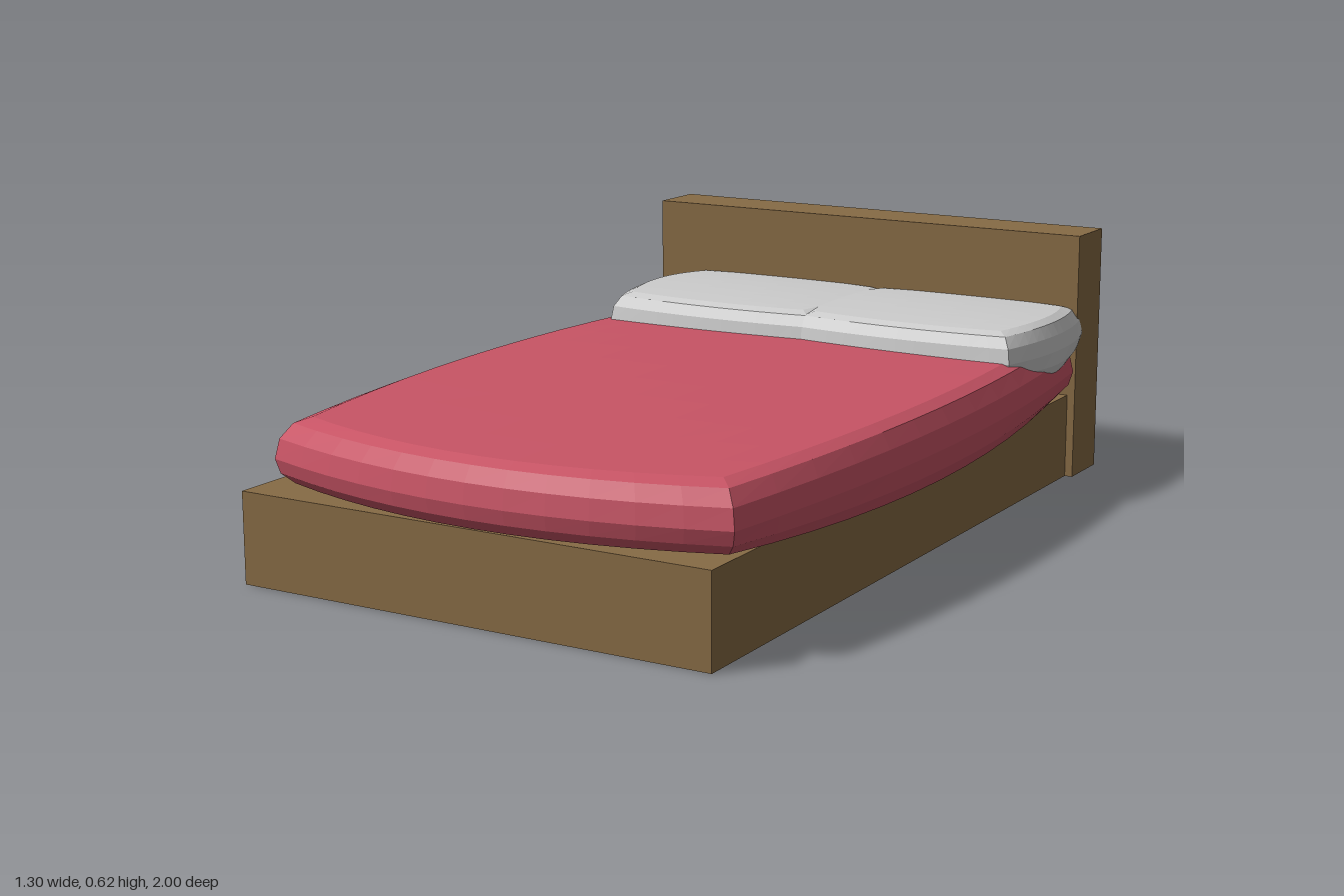
import * as THREE from 'three';

const wood = new THREE.MeshStandardMaterial({ color: 0x876b45, flatShading: true });
const cover = new THREE.MeshStandardMaterial({ color: 0xc85465, flatShading: true });
const linen = new THREE.MeshStandardMaterial({ color: 0xcccccc, flatShading: true });

// Box spanning the given minimum and maximum corners
function board(name, min, max) {
  const size = max.map((m, i) => m - min[i]);
  const mesh = new THREE.Mesh(new THREE.BoxGeometry(...size), wood);
  mesh.name = name;
  mesh.position.set(...max.map((m, i) => (m + min[i]) / 2));
  return mesh;
}

// Stuffed slab: rounded edges, sides bowed outwards, top and bottom swelling in the middle
function cushion(name, material, o) {
  const geo = new THREE.BoxGeometry(2, 2, 2, 12, 6, 12);
  const p = geo.attributes.position;
  for (let i = 0; i < p.count; i++) {
    const u = p.getX(i), t = p.getY(i), v = p.getZ(i);
    const angle = t * Math.PI / 2;
    const inset = o.round * (1 - Math.cos(angle));
    const swell = t > 0 ? o.up + o.dome * (1 - v * v) * (1 - 0.5 * u * u)
                        : o.down + o.sag * (1 - v * v);
    p.setXYZ(i,
      u * (o.halfX - inset + o.bowX * (1 - v * v)),
      Math.sin(angle) * swell,
      v * (o.halfZ - inset + o.bowZ * (1 - u * u)));
  }
  geo.computeVertexNormals();
  const mesh = new THREE.Mesh(geo, material);
  mesh.name = name;
  return mesh;
}

export function createModel() {
  const bed = new THREE.Group();
  bed.name = 'bed';

  // Wooden frame
  bed.add(board('base', [-0.63, 0, -0.85], [0.56, 0.213, 0.95]));
  bed.add(board('headboard', [-0.65, 0, -1], [0.58, 0.625, -0.85]));

  // Mattress, overhanging the base
  const mattress = cushion('mattress', cover, {
    halfX: 0.58, halfZ: 0.865, bowX: 0.067, bowZ: 0.105,
    round: 0.06, up: 0.09, dome: 0.012, down: 0.067, sag: 0.032,
  });
  mattress.position.set(0, 0.28, 0.03);
  bed.add(mattress);

  // Pair of pillows pressed together in the middle
  for (const [name, side] of [['leftPillow', 1], ['rightPillow', -1]]) {
    const pillow = cushion(name, linen, {
      halfX: 0.295, halfZ: 0.23, bowX: 0.035, bowZ: 0.02,
      round: 0.042, up: 0.072, dome: 0.009, down: 0.045, sag: 0.03,
    });
    pillow.position.set(0.018 + side * 0.27, 0.373, -0.65);
    bed.add(pillow);
  }
  return bed;
}
